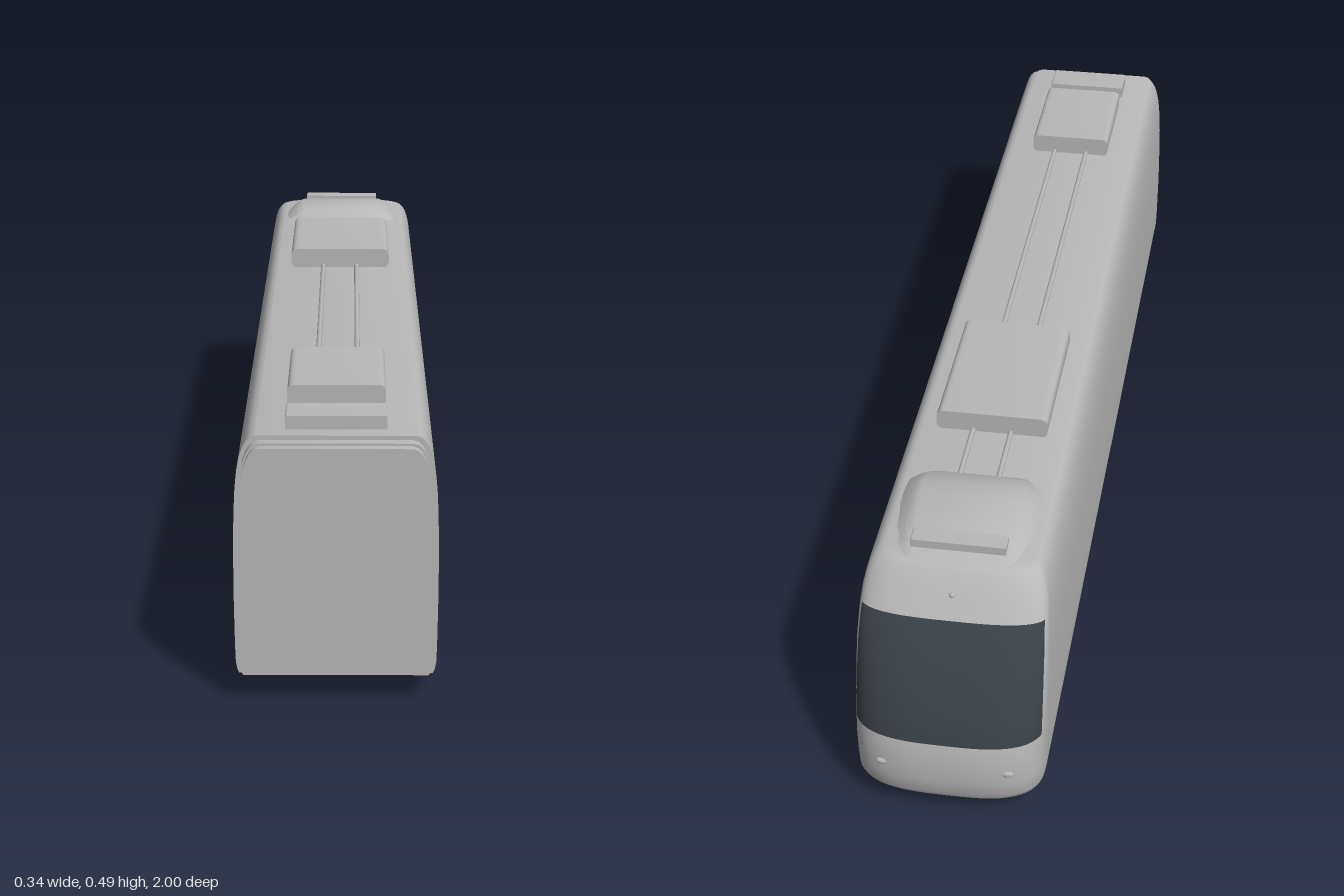
import * as THREE from 'three';
import { toCreasedNormals } from 'three/addons/utils/BufferGeometryUtils.js';

const paint = new THREE.MeshStandardMaterial({ color: 0xb8b8b8 });
paint.name = 'greyPaint';
const glass = new THREE.MeshStandardMaterial({ color: 0x3a4248 });
glass.name = 'darkGlass';
const panelPaint = paint.clone();
panelPaint.name = 'greyPanel';
panelPaint.side = THREE.DoubleSide;

// Body levels: height, half width, z of the nose tip
const LEVELS = [
  [0.04, 0.161, -0.975], [0.047, 0.164, -0.989], [0.06, 0.1665, -0.996], [0.09, 0.1675, -0.999],
  [0.13, 0.168, -1], [0.172, 0.1685, -0.994], [0.22, 0.1685, -0.98], [0.27, 0.168, -0.96],
  [0.32, 0.167, -0.937], [0.36, 0.165, -0.915], [0.378, 0.1635, -0.904], [0.4, 0.161, -0.89],
  [0.42, 0.157, -0.877], [0.435, 0.152, -0.867], [0.446, 0.146, -0.858], [0.453, 0.139, -0.852],
  [0.456, 0.13, -0.848],
];
const BACK = 0.967;

// Creases are found at a larger scale, so that small parts keep their own normals
function crease(geometry, angle = 0.6) {
  geometry.scale(10, 10, 10);
  const result = toCreasedNormals(geometry, angle);
  result.scale(0.1, 0.1, 0.1);
  return result;
}

function halfWidth(y) {
  const i = Math.max(1, LEVELS.findIndex((l) => l[0] >= y));
  const [a, b] = [LEVELS[i - 1], LEVELS[i]];
  return a[1] + ((b[1] - a[1]) * (y - a[0])) / (b[0] - a[0]);
}

// Hull from horizontal slices, each rounded at the nose
function hullGeometry() {
  const steps = 40, n = steps + 3, pos = [], body = [], screen = [];
  for (const [y, w, front] of LEVELS) {
    const depth = 0.1 - 0.05 * THREE.MathUtils.smoothstep(y, 0.15, 0.4);
    pos.push(w, y, BACK);
    for (let k = 0; k <= steps; k++) {
      const t = Math.PI / 2 - (Math.PI * k) / steps;
      const x = w * Math.sign(t) * Math.pow(Math.abs(Math.sin(t)), 2 / 3);
      const z = front + depth * (1 - Math.pow(Math.max(0, Math.cos(t)), 2 / 3));
      pos.push(x, y, z);
    }
    pos.push(-w, y, BACK);
  }
  const quad = (list, a, b, c, d) => list.push(a, b, c, a, c, d);
  const top = LEVELS.length - 1;
  for (let j = 0; j < top; j++) {
    const isGlassRow = LEVELS[j][0] >= 0.17 && LEVELS[j + 1][0] <= 0.38;
    for (let i = 0; i < n - 1; i++) {
      const isGlass = isGlassRow && i >= 5 && i < n - 6;
      quad(isGlass ? screen : body, j * n + i, j * n + i + 1, (j + 1) * n + i + 1, (j + 1) * n + i);
    }
    quad(body, j * n, (j + 1) * n, (j + 2) * n - 1, (j + 1) * n - 1);
  }
  // Roof and floor
  for (let i = 0; i < (n - 1) / 2; i++) {
    const o = top * n, m = n - 1 - i;
    quad(body, o + i, o + i + 1, o + m - 1, o + m);
    quad(body, m, m - 1, i + 1, i);
  }
  const g = new THREE.BufferGeometry();
  g.setAttribute('position', new THREE.Float32BufferAttribute(pos, 3));
  g.setIndex([...body, ...screen]);
  g.addGroup(0, body.length, 0);
  g.addGroup(body.length, screen.length, 1);
  return crease(g);
}

function extrudeZ(shape, z0, z1) {
  const g = new THREE.ExtrudeGeometry(shape, { depth: z1 - z0, bevelEnabled: false, curveSegments: 5 });
  return crease(g.translate(0, 0, z0));
}

// Body cross-section, shrunk about its middle
function sectionShape(sx, sy) {
  const right = LEVELS.map(([y, w]) => new THREE.Vector2(w * sx, 0.248 + (y - 0.248) * sy));
  const left = right.map((p) => new THREE.Vector2(-p.x, p.y)).reverse();
  return new THREE.Shape([...right, ...left]);
}

function roundedShape(w, y0, y1, r) {
  const s = new THREE.Shape();
  s.moveTo(-w + r, y0);
  s.lineTo(w - r, y0).quadraticCurveTo(w, y0, w, y0 + r);
  s.lineTo(w, y1 - r).quadraticCurveTo(w, y1, w - r, y1);
  s.lineTo(-w + r, y1).quadraticCurveTo(-w, y1, -w, y1 - r);
  s.lineTo(-w, y0 + r).quadraticCurveTo(-w, y0, -w + r, y0);
  return s;
}

// Low streamlined pod over the cab, lofted along z
function podGeometry() {
  const sections = [ // z, half width at foot, half width at top, top height
    [-0.6, 0.1, 0.085, 0.458], [-0.625, 0.128, 0.1, 0.474], [-0.66, 0.131, 0.104, 0.483],
    [-0.7, 0.13, 0.104, 0.485], [-0.76, 0.124, 0.1, 0.477], [-0.81, 0.115, 0.094, 0.466],
    [-0.84, 0.105, 0.09, 0.456],
  ];
  const pos = [], index = [], n = 6;
  for (const [z, foot, head, y] of sections) {
    const shoulder = 0.45 + (y - 0.45) * 0.8;
    pos.push(foot, 0.45, z, head, shoulder, z, head - 0.014, y, z);
    pos.push(-head + 0.014, y, z, -head, shoulder, z, -foot, 0.45, z);
  }
  for (let j = 0; j < sections.length - 1; j++) {
    for (let i = 0; i < n - 1; i++) {
      const a = j * n + i, b = a + n;
      index.push(a, b, b + 1, a, b + 1, a + 1);
    }
  }
  const last = (sections.length - 1) * n;
  for (let i = 1; i < n - 1; i++) index.push(0, i, i + 1, last, last + i + 1, last + i);
  const g = new THREE.BufferGeometry();
  g.setAttribute('position', new THREE.Float32BufferAttribute(pos, 3));
  g.setIndex(index);
  return crease(g, 0.5);
}

export function createModel() {
  const model = new THREE.Group();
  model.name = 'railCar';
  const add = (name, geometry, material = paint) => {
    const mesh = new THREE.Mesh(geometry, material);
    mesh.name = name;
    model.add(mesh);
    return mesh;
  };

  add('hullAndWindscreen', hullGeometry(), [paint, glass]);

  // Stepped frame and panel at the coupling end
  add('endFrame', extrudeZ(sectionShape(0.965, 0.965), 0.95, 0.985));
  add('endPanel', extrudeZ(sectionShape(0.95, 0.945), 0.95, 1));

  // Roof equipment
  add('largeRoofBox', extrudeZ(roundedShape(0.103, 0.454, 0.495, 0.015), -0.47, -0.165));
  add('smallRoofBox', extrudeZ(roundedShape(0.083, 0.454, 0.495, 0.013), 0.585, 0.815));
  add('endRoofBox', extrudeZ(roundedShape(0.083, 0.45, 0.479, 0.004), 0.865, 0.935));
  add('cabRoofPod', podGeometry());
  add('podSlab', extrudeZ(roundedShape(0.083, 0.452, 0.478, 0.003), -0.82, -0.785));
  for (const [z0, z1] of [[-0.64, -0.46], [-0.18, 0.6], [0.8, 0.88]]) {
    for (const x of [-0.035, 0.035]) {
      const pipe = new THREE.CylinderGeometry(0.005, 0.005, z1 - z0, 8).rotateX(Math.PI / 2);
      add('roofPipe', pipe).position.set(x, 0.459, (z0 + z1) / 2);
    }
  }

  // Flush side doors that follow the curve of the wall
  for (const side of [-1, 1]) {
    const door = new THREE.PlaneGeometry(0.17, 0.28, 1, 8).rotateY((side * Math.PI) / 2).translate(0, 0.19, 0.135);
    const p = door.attributes.position;
    for (let i = 0; i < p.count; i++) p.setX(i, side * (halfWidth(p.getY(i)) + 0.0008));
    door.computeVertexNormals();
    add('sideDoor', door, panelPaint);

    // Headlamp
    const lamp = add('headlamp', new THREE.SphereGeometry(0.01, 12, 8));
    lamp.position.set(side * 0.11, 0.115, -0.988);
    lamp.scale.set(1.2, 0.7, 0.5);
  }
  add('markerLamp', new THREE.SphereGeometry(0.005, 10, 6)).position.set(0, 0.415, -0.88);

  // Bogie plate and flanged wheels
  add('bogiePlate', new THREE.BoxGeometry(0.18, 0.006, 0.25)).position.set(0, 0.039, -0.505);
  for (const z of [-0.39, -0.62]) {
    for (const side of [-1, 1]) {
      const tread = new THREE.CylinderGeometry(0.034, 0.034, 0.015, 28).rotateZ(Math.PI / 2);
      const flange = new THREE.CylinderGeometry(0.039, 0.039, 0.007, 28).rotateZ(Math.PI / 2);
      add('wheelTread', tread).position.set(side * 0.097, 0.039, z);
      add('wheelFlange', flange).position.set(side * 0.095, 0.039, z);
    }
  }
  return model;
}
